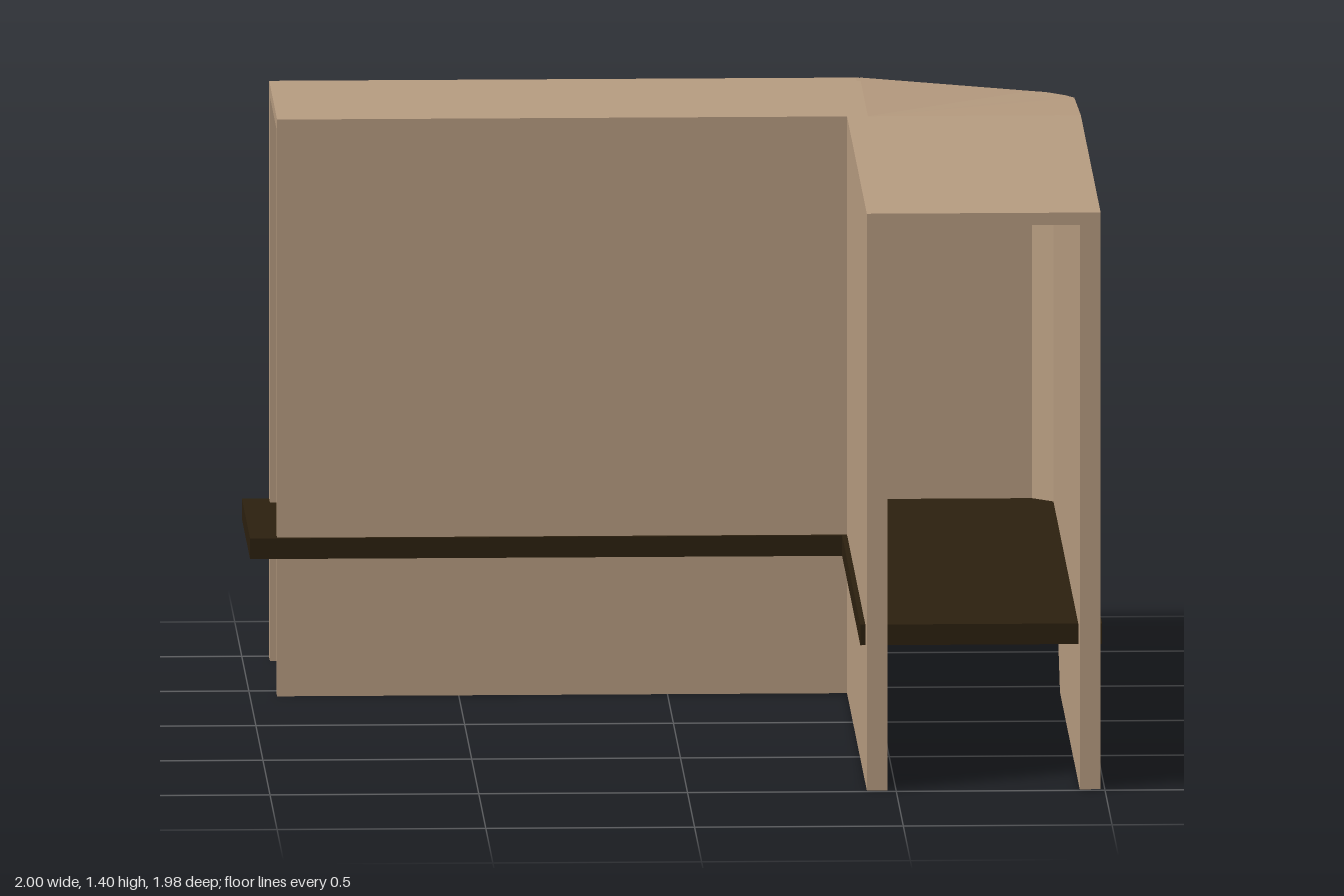
import * as THREE from 'three';

export function createModel() {
  const model = new THREE.Group();
  model.name = 'cornerTrough';

  const tan = new THREE.MeshStandardMaterial({ color: 0xb99e82 });
  tan.name = 'tan';
  const darkBrown = new THREE.MeshStandardMaterial({ color: 0x2d210f });
  darkBrown.name = 'dark brown';

  const add = (name, geometry, material = tan) => {
    const mesh = new THREE.Mesh(geometry, material);
    mesh.name = name;
    model.add(mesh);
    return mesh;
  };
  // Box given by its limits on each axis
  const box = (name, x0, x1, y0, y1, z0, z1) =>
    add(name, new THREE.BoxGeometry(x1 - x0, y1 - y0, z1 - z0))
      .position.set((x0 + x1) / 2, (y0 + y1) / 2, (z0 + z1) / 2);
  const extrude = (points, depth) => new THREE.ExtrudeGeometry(
    new THREE.Shape(points.map(([u, v]) => new THREE.Vector2(u, v))),
    { depth, bevelEnabled: false });
  // Plan outline given as [x, z], raised from y0 to y1
  const slab = (points, y0, y1) => extrude(points.map(([x, z]) => [x, -z]), y1 - y0)
    .rotateX(-Math.PI / 2).translate(0, y0, 0);

  const T = 0.05, TOP = 1.4, DIP = 1.365, ROOF = 0.03;

  // Inner walls of both arms
  box('innerWallSideArm', -0.935, 0.43, 0, TOP, -0.47, -0.42);
  box('innerWallFrontArm', 0.43, 0.48, 0, TOP, -0.47, 0.985);

  // Outer walls, cut away below and dipping above towards the corner
  const outerWall = (start, bend, end) => extrude([
    [start, 0], [bend, 0], [end, 0.385], [end, DIP], [bend, TOP], [start, TOP],
  ], T);
  add('outerWallSideArm', outerWall(-0.935, 0.47, 0.89).translate(0, 0, -0.98));
  add('outerWallFrontArm', outerWall(0.985, -0.415, -0.88)
    .rotateY(-Math.PI / 2).translate(0.99, 0, 0));

  // Rounded outer corner
  const arc = [[0.89, -0.98], [0.925, -0.963], [0.97, -0.915], [0.99, -0.88]];
  add('roundedCorner', slab([...arc, [0.94, -0.88], [0.89, -0.93]], 0.375, DIP));

  // Flat roofs
  box('roofSideArm', -0.935, 0.48, TOP - ROOF, TOP, -0.93, -0.47);
  box('roofFrontArm', 0.48, 0.94, TOP - ROOF, TOP, -0.42, 0.985);

  // Sunken corner roof: a fan from the inner corner, with an underside
  const rim = [[0.48, TOP, -0.98], ...arc.map(([x, z]) => [x, DIP, z]), [0.99, TOP, -0.42]];
  const inner = [0.48, TOP, -0.42];
  const lower = ([x, y, z]) => [x, y - ROOF, z];
  const corners = [];
  for (let i = 0; i < rim.length - 1; i++) {
    corners.push(inner, rim[i + 1], rim[i]);
    corners.push(lower(inner), lower(rim[i]), lower(rim[i + 1]));
  }
  const fan = new THREE.BufferGeometry();
  fan.setAttribute('position', new THREE.Float32BufferAttribute(corners.flat(), 3));
  fan.computeVertexNormals();
  add('cornerRoof', fan);

  // L-shaped floor board that pokes slightly through the walls
  add('floorBoard', slab([
    [-1, -0.99], [1, -0.99], [1, -0.875], [0.985, -0.875], [0.985, -0.415],
    [0.997, -0.415], [0.997, 0.88], [0.418, 0.88], [0.418, -0.41], [-1, -0.41],
  ], 0.335, 0.385), darkBrown);

  return model;
}
